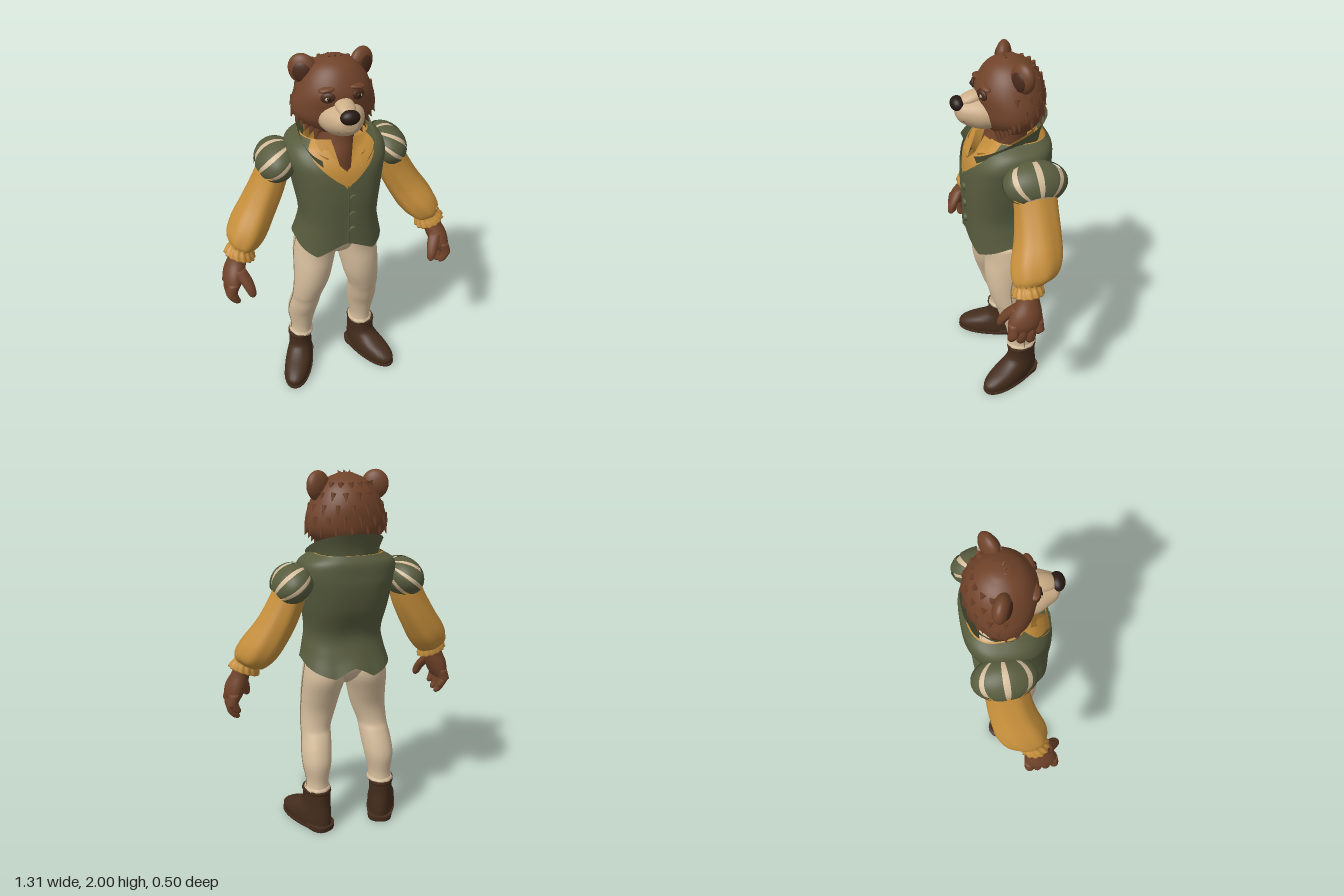
import * as THREE from 'three';

const mat = (name, color, side = THREE.FrontSide) => {
  const m = new THREE.MeshStandardMaterial({ color, side });
  m.name = name;
  return m;
};

// Smooth surface from a rule; u runs around, v runs upward
function grid(fn, nu, nv, closed, caps = false) {
  const pos = [], idx = [], cols = closed ? nu : nu + 1;
  for (let j = 0; j <= nv; j++)
    for (let i = 0; i < cols; i++) pos.push(...fn(i / nu, j / nv));
  for (let j = 0; j < nv; j++)
    for (let i = 0; i < nu; i++) {
      const k = (i + 1) % cols, a = j * cols + i, b = j * cols + k;
      idx.push(a, b, b + cols, a, b + cols, a + cols);
    }
  if (caps) for (const j of [0, nv]) {
    const c = [0, 0, 0], n = pos.length / 3;
    for (let i = 0; i < cols; i++) for (let q = 0; q < 3; q++) c[q] += pos[(j * cols + i) * 3 + q] / cols;
    pos.push(...c);
    for (let i = 0; i < cols; i++) {
      const a = j * cols + i, b = j * cols + (i + 1) % cols;
      if (j) idx.push(a, b, n); else idx.push(b, a, n);
    }
  }
  const g = new THREE.BufferGeometry();
  g.setAttribute('position', new THREE.Float32BufferAttribute(pos, 3));
  g.setIndex(idx);
  g.computeVertexNormals();
  return g;
}

// Splined rings [x, y, z, rx, rz] sampled at t
function ringSampler(rings) {
  const c = new THREE.CatmullRomCurve3(rings.map(r => new THREE.Vector3(r[0], r[1], r[2])), false, 'catmullrom');
  const d = new THREE.CatmullRomCurve3(rings.map(r => new THREE.Vector3(r[3], r[4], 0)), false, 'catmullrom');
  return t => [c.getPoint(t), d.getPoint(t)];
}
const bulge = (v, e) => Math.sign(v) * Math.abs(v) ** (2 / e);

function loft(rings, { s = 1, tilt = 0, exp = 2, wave = 0, folds = 6, nu = 28 } = {}) {
  const r = rings[0][1] > rings[rings.length - 1][1] ? [...rings].reverse() : rings;
  const at = ringSampler(r);
  return grid((u, t) => {
    const [c, d] = at(t), p = u * Math.PI * 2;
    const w = 1 + wave * Math.sin(folds * p + 4 * t);
    const ox = bulge(Math.sin(p), exp) * d.x * w, oz = bulge(Math.cos(p), exp) * d.y * w;
    return [c.x * s + ox * Math.cos(tilt), c.y + ox * Math.sin(tilt), c.z + oz];
  }, nu, (r.length - 1) * 4, true, true);
}

const TORSO = [[0, .98, -.01, .24, .208], [0, 1.06, .008, .222, .19], [0, 1.16, .018, .207, .182], [0, 1.3, -.008, .226, .212],
  [0, 1.42, -.025, .246, .222], [0, 1.49, -.037, .26, .212], [0, 1.55, -.058, .243, .187], [0, 1.59, -.072, .18, .15]];
const HEM = [[0, .05], [.6, -.03], [1.5, .03], [2.8, -.045], [3.142, .01]];
const LEG = [[.11, .98, -.02, .113, .15], [.119, .9, -.022, .119, .143], [.134, .8, 0, .11, .125], [.148, .7, .012, .1, .103],
  [.168, .6, 0, .086, .088], [.172, .55, -.02, .084, .09], [.18, .48, -.045, .086, .095], [.186, .4, -.07, .081, .09],
  [.188, .3, -.075, .063, .076], [.19, .235, -.077, .069, .082]];
const HEAD = [[0, 1.6, -.06, .09, .09], [0, 1.64, -.05, .155, .132], [0, 1.7, -.05, .208, .16], [0, 1.76, -.05, .212, .168],
  [0, 1.83, -.045, .188, .171], [0, 1.9, -.045, .152, .143], [0, 1.95, -.042, .102, .098], [0, 1.98, -.04, .035, .035]];

function hemOffset(p) {
  const a = Math.min(p, Math.PI * 2 - p);
  for (let i = 1; i < HEM.length; i++)
    if (a <= HEM[i][0]) return THREE.MathUtils.mapLinear(a, HEM[i - 1][0], HEM[i][0], HEM[i - 1][1], HEM[i][1]);
  return HEM[4][1];
}

// Garment shell around the torso from fraction t0 up, opening in a V above vBase
function garment(scale, t0, vBase, rate) {
  const at = ringSampler(TORSO);
  return grid((u, v) => {
    const t = t0 + (1 - t0) * v, [c, d] = at(t), gap = Math.max(0, c.y - vBase) * rate;
    const p = gap + u * (Math.PI * 2 - 2 * gap);
    return [bulge(Math.sin(p), 2.6) * d.x * scale, c.y + hemOffset(p) * (1 - t) ** 6, c.z + bulge(Math.cos(p), 2.6) * d.y * scale];
  }, 72, 36, false);
}

// Standing collar that slopes down toward the front
function collar(rx, rz, drop, gap) {
  return grid((u, t) => {
    const p = gap + u * (Math.PI * 2 - 2 * gap), f = .83 + .17 * t ** 1.5, z = bulge(Math.cos(p), 2.5) * rz;
    return [bulge(Math.sin(p), 2.5) * rx * f, 1.695 - (z + .21) * .4 - drop - .12 * (1 - t), -.012 + z * f];
  }, 48, 6, false);
}

// Flat four-cornered flap
const flap = (a, b, c, d) => grid((u, t) => a.map((_, q) =>
  (a[q] * (1 - u) + b[q] * u) * (1 - t) + (d[q] * (1 - u) + c[q] * u) * t), 2, 2, false);

export function createModel() {
  const D = THREE.DoubleSide;
  const fur = mat('brown fur', 0x70432a), darkFur = mat('dark fur', 0x4a2b1c), cream = mat('cream muzzle', 0xcbad87);
  const cloth = mat('pale cloth', 0xd5bd9c), ochre = mat('ochre shirt', 0xc58e3b, D), green = mat('green vest', 0x585c3e, D);
  const leather = mat('boot leather', 0x432c1c), dark = mat('near black', 0x271913), seam = mat('seam brown', 0x957f62);
  const model = new THREE.Group();
  const add = (name, geo, m, parent = model) => {
    const o = new THREE.Mesh(geo, m);
    o.name = name;
    parent.add(o);
    return o;
  };
  const ball = (name, p, r, m, parent = model) => {
    const o = add(name, new THREE.SphereGeometry(1, 24, 16), m, parent);
    o.position.set(...p);
    o.scale.set(...r);
    return o;
  };
  const tube = (name, pts, r, m) =>
    add(name, new THREE.TubeGeometry(new THREE.CatmullRomCurve3(pts.map(p => new THREE.Vector3(...p))), 32, r, 6), m);

  // Torso clothing
  add('vest', garment(1, 0, 1.38, 4), green);
  add('shirtFront', garment(.955, .45, 1.46, 2.6), ochre);
  add('vestCollar', collar(.194, .22, 0, .62), green);
  add('shirtCollar', collar(.158, .178, .015, .5), ochre);
  add('neck', loft([[0, 1.4, -.02, .11, .13], [0, 1.5, -.02, .1, .125], [0, 1.58, -.03, .1, .11], [0, 1.7, -.05, .1, .1]]), fur);
  tube('vestFrontEdge', [[.004, 1.38, .194], [.004, 1.3, .203], [.004, 1.16, .199], [.004, 1.04, .2]], .005, green);
  for (const y of [1.31, 1.21, 1.115]) {
    const b = add('button', new THREE.CylinderGeometry(.02, .023, .016, 16), green);
    b.position.set(.028, y, .205);
    b.rotation.x = Math.PI / 2;
  }
  add('hips', loft([[0, .86, -.02, .03, .05], [0, .91, -.02, .14, .112], [0, .98, -.02, .2, .145], [0, 1.08, 0, .19, .155]]), cloth);

  // Head and muzzle
  add('head', loft(HEAD, { nu: 40 }), fur);
  const muzzle = add('muzzle', loft([[0, .05, -1.715, .124, .088], [0, .12, -1.715, .108, .084], [0, .17, -1.72, .084, .07],
    [0, .208, -1.727, .062, .054], [0, .226, -1.73, .035, .03]]), cream);
  muzzle.rotation.x = Math.PI / 2;
  ball('muzzleBridge', [0, 1.79, .142], [.048, .032, .082], cream).rotation.x = .3;
  ball('nose', [0, 1.768, .216], [.049, .036, .036], dark);
  tube('mouth', [[-.082, 1.715, .155], [-.05, 1.695, .204], [0, 1.705, .223], [.05, 1.695, .204], [.082, 1.715, .155]], .003, dark);
  for (const s of [1, -1]) {
    ball('eyePatch', [s * .076, 1.832, .112], [.036, .026, .013], darkFur).rotation.set(0, s * .4, s * -.2);
    ball('eyeWhite', [s * .074, 1.829, .118], [.019, .012, .011], cream);
    ball('pupil', [s * .074, 1.83, .122], [.012, .012, .01], dark);
    ball('brow', [s * .072, 1.866, .09], [.045, .014, .028], fur).rotation.z = s * -.1;
    const ear = new THREE.Group();
    ear.name = 'ear';
    ear.position.set(s * .15, 1.92, -.065);
    ear.rotation.set(0, s * .45, s * -.25);
    model.add(ear);
    ball('earShell', [0, 0, 0], [.07, .076, .04], fur, ear);
    ball('earInner', [0, -.008, .026], [.046, .052, .019], darkFur, ear);
  }

  // Fur tufts lying on the back and sides of the head, in staggered rows
  const headAt = ringSampler(HEAD);
  const tuft = (p, dir, len, w) => {
    const o = add('furTuft', new THREE.ConeGeometry(w, len, 6), fur);
    o.position.copy(p).addScaledVector(dir.normalize(), len * .25);
    o.quaternion.setFromUnitVectors(new THREE.Vector3(0, 1, 0), dir);
  };
  for (let row = 0; row < 5; row++)
    for (let i = 0; i < 9; i++) {
      const [c, d] = headAt(.32 + row * .115), p = 1.45 + (i + (row % 2) / 2) * .4;
      if (p > 4.85) continue;
      const n = new THREE.Vector3(Math.sin(p), 0, Math.cos(p)), slope = .15 + Math.max(0, .45 - row * .25);
      tuft(new THREE.Vector3(n.x * d.x * .97, c.y, c.z + n.z * d.y * .97), n.clone().multiplyScalar(.5 - slope * .4).setY(-1), .055, .016);
    }
  for (const s of [1, -1])
    for (let i = 0; i < 5; i++)
      tuft(new THREE.Vector3(s * (.19 - i * .02), 1.71 - i * .02, -.01 + i * .012), new THREE.Vector3(s * .45, -1, .1), .06, .026);
  for (let i = -1; i <= 1; i++)
    tuft(new THREE.Vector3(i * .02, 1.97, -.03), new THREE.Vector3(i * .4, .6, .5), .04, .016);

  for (const s of [1, -1]) {
    // Open shirt collar points over the chest
    add('shirtFlap', flap([s * .022, 1.45, .168], [s * .08, 1.475, .17], [s * .135, 1.6, .07], [s * .058, 1.605, .098]), ochre);

    // Slashed shoulder puff: pale core with green bands
    const puff = new THREE.Group();
    puff.name = 'shoulderPuff';
    puff.position.set(s * .303, 1.442, -.085);
    puff.rotation.z = s * .92;
    model.add(puff);
    ball('puffLining', [0, 0, 0], [.094, .104, .156], cloth, puff);
    for (let i = 0; i < 8; i++) {
      const band = add('puffBand', new THREE.SphereGeometry(1, 8, 14, i * Math.PI / 4 + .1, .585, .1, 2.5), green, puff);
      band.scale.set(.102, .114, .166);
    }

    // Sleeve, ruffled cuff
    add('sleeve', loft([[.3, 1.43, -.085, .08, .11], [.35, 1.31, -.08, .09, .112], [.41, 1.2, -.068, .096, .12],
      [.475, 1.1, -.042, .102, .132], [.52, 1.035, -.018, .09, .115], [.54, 1.005, .008, .06, .072]],
      { s, tilt: s * .5, wave: .025, folds: 7, nu: 42 }), ochre);
    add('cuffRuffle', loft([[.523, 1.04, .01, .075, .082], [.533, 1.012, .016, .066, .068], [.543, .985, .022, .077, .076],
      [.55, .962, .026, .084, .08]], { s, tilt: s * .36, wave: .05, folds: 14, nu: 84 }), ochre);

    // Hand
    add('palm', loft([[.55, 1.0, .02, .044, .05], [.568, .945, .03, .05, .056], [.588, .89, .045, .058, .078],
      [.603, .84, .055, .053, .088], [.612, .795, .06, .036, .082]], { s }), fur);
    [[.128, .72], [.08, .695], [.032, .688], [-.012, .735]].forEach(([z, y], i) => {
      const zb = .118 - i * .042;
      add('finger', loft([[.608, .845, zb, .031, .028], [.624, .79, (zb + z) / 2, .031, .028],
        [.62, y + .045, z, .028, .025], [.603, y + .012, z, .021, .019], [.596, y, z, .007, .007]], { s, nu: 12 }), fur);
    });
    add('thumb', loft([[.572, .91, .085, .036, .032], [.545, .86, .12, .034, .031], [.528, .815, .147, .028, .026],
      [.52, .78, .158, .02, .02], [.518, .766, .16, .007, .007]], { s, nu: 12 }), fur);

    // Trouser leg with side seam; the stance leans slightly to the model's right
    const leg = LEG.map(([x, y, ...rest]) => [x - s * .015 * (.98 - y), y, ...rest]);
    add('trouserLeg', loft(leg, { s, wave: .01, folds: 5 }), cloth);
    tube('sideSeam', leg.map(([x, y, z, rx]) => [s * (x + rx), y, z]), .0035, seam);
    const ankle = .19 - s * .011;
    add('trouserHem', loft([[ankle, .265, -.077, .065, .079], [ankle, .25, -.077, .073, .086], [ankle, .235, -.077, .068, .08]],
      { s, wave: .03, folds: 9 }), cloth);

    // Boot with heel, toes turned out
    const boot = new THREE.Group();
    boot.name = 'boot';
    boot.position.set(s * .196 - .012, 0, -.078);
    boot.rotation.y = s * .42;
    model.add(boot);
    add('bootUpper', loft([[0, .018, .09, .077, .19], [0, .055, .09, .08, .19], [0, .09, .067, .077, .165], [0, .125, .026, .07, .12],
      [0, .165, .002, .066, .091], [0, .245, 0, .068, .088]], { exp: 2.2 }), leather, boot);
    add('bootSole', loft([[0, .004, .09, .081, .195], [0, .014, .09, .084, .197], [0, .022, .09, .082, .195]], { exp: 2.2 }), leather, boot);
    add('bootHeel', loft([[0, 0, -.02, .07, .085], [0, .035, -.02, .074, .088]], { exp: 2.6 }), leather, boot);
    add('bootTopBand', loft([[0, .225, 0, .069, .089], [0, .236, 0, .072, .092], [0, .248, 0, .07, .09]], { exp: 2.2 }), leather, boot);
  }
  return model;
}
